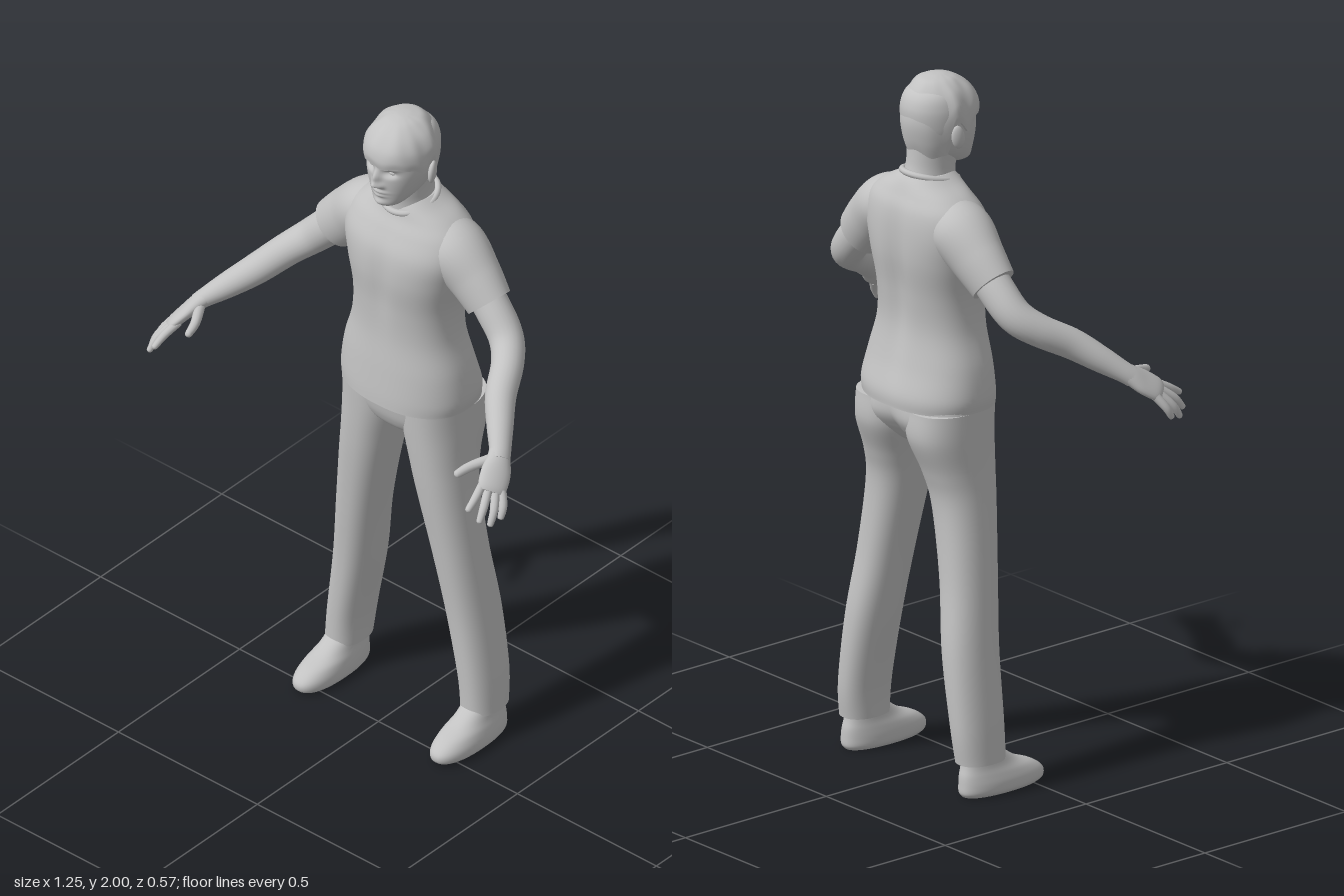
import * as THREE from 'three';

const grey = new THREE.MeshStandardMaterial({ color: 0xc2c2c2 });
grey.name = 'plain grey';

// Smooth interpolation of all columns of a row table at t in 0..1
function sample(rows, t) {
  const f = t * (rows.length - 1), i = Math.min(Math.floor(f), rows.length - 2), k = f - i;
  const at = (j) => rows[Math.max(0, Math.min(rows.length - 1, j))];
  return rows[0].map((_, c) => {
    const [a, b, d, e] = [at(i - 1)[c], at(i)[c], at(i + 1)[c], at(i + 2)[c]];
    return b + 0.5 * k * (d - a + k * (2 * a - 5 * b + 4 * d - e + k * (3 * (b - d) + e - a)));
  });
}

// Closed skin over rings of points, with flat end caps
function skin(nv, nu, point) {
  const pos = [], idx = [];
  const ring = (v) => {
    const start = pos.length / 3;
    for (let u = 0; u < nu; u++) pos.push(...point((u / nu) * Math.PI * 2, v).toArray());
    return start;
  };
  for (let j = 0; j <= nv; j++) ring(j / nv);
  for (let j = 0; j < nv; j++) for (let u = 0; u < nu; u++) {
    const a = j * nu + u, b = j * nu + (u + 1) % nu;
    idx.push(a, b, a + nu, b, b + nu, a + nu);
  }
  for (const v of [0, 1]) {
    const s = ring(v), m = pos.length / 3, c = [0, 0, 0];
    for (let i = s * 3; i < m * 3; i++) c[i % 3] += pos[i] / nu;
    pos.push(...c);
    for (let u = 0; u < nu; u++) {
      const a = s + u, b = s + (u + 1) % nu;
      idx.push(...(v ? [a, b, m] : [b, a, m]));
    }
  }
  const g = new THREE.BufferGeometry();
  g.setAttribute('position', new THREE.Float32BufferAttribute(pos, 3));
  g.setIndex(idx);
  g.computeVertexNormals();
  return g;
}

// Horizontal sections: rows of [y, centre x, half width, front z, back z]
function stack(rows, { power = 2, nv = 40, nu = 48, warp } = {}) {
  const bend = (c) => Math.sign(c) * Math.abs(c) ** (2 / power);
  return skin(nv, nu, (a, v) => {
    const [y, cx, hw, zf, zb] = sample(rows, v);
    const p = new THREE.Vector3(cx + hw * bend(Math.cos(a)), y,
      (zf + zb) / 2 - ((zf - zb) / 2) * bend(Math.sin(a)));
    if (warp) warp(p);
    return p;
  });
}

// Sections across a path: rows of [x, y, z, radius along side, other radius]
function limb(rows, side = [0, 0, 1], nv = 28, nu = 24) {
  const at = (t) => new THREE.Vector3(...sample(rows, t).slice(0, 3));
  return skin(nv, nu, (a, v) => {
    const t = at(Math.min(1, v + 0.01)).sub(at(Math.max(0, v - 0.01))).normalize();
    const w = new THREE.Vector3(...side);
    w.addScaledVector(t, -w.dot(t)).normalize();
    const n = t.clone().cross(w), r = sample(rows, v);
    return at(v).addScaledVector(w, r[3] * Math.cos(a)).addScaledVector(n, r[4] * Math.sin(a));
  });
}

function mirrored(g) {
  const m = g.clone().scale(-1, 1, 1), i = m.index.array;
  for (let k = 0; k < i.length; k += 3) [i[k], i[k + 1]] = [i[k + 1], i[k]];
  m.computeVertexNormals();
  return m;
}

const bump = (x, y, cx, cy, sx, sy) => Math.exp(-(((x - cx) / sx) ** 2) - ((y - cy) / sy) ** 2);

export function createModel() {
  const model = new THREE.Group();
  model.name = 'standingFigure';
  const add = (name, g) => {
    const m = new THREE.Mesh(g, grey);
    m.name = name;
    model.add(m);
    return m;
  };
  const pair = (name, g) => {
    add(name + 'Left', g);
    add(name + 'Right', mirrored(g));
  };

  // Shirt body, with chest, spine groove and shoulder blades
  add('shirtBody', stack([
    [1.08, 0, 0.204, 0.012, -0.284], [1.12, 0, 0.208, 0.01, -0.284], [1.2, 0, 0.195, 0.003, -0.262],
    [1.3, 0, 0.167, -0.006, -0.246], [1.4, 0, 0.163, -0.004, -0.252], [1.5, 0, 0.183, 0.003, -0.265],
    [1.58, 0, 0.2, -0.005, -0.265], [1.64, 0, 0.187, -0.03, -0.257], [1.68, 0, 0.147, -0.052, -0.24],
    [1.71, 0, 0.095, -0.062, -0.225], [1.73, 0, 0.066, -0.075, -0.21],
  ], { power: 2.3, nv: 60, nu: 72, warp: (p) => {
    if (p.z < -0.16) p.z += 0.02 * bump(p.x, p.y, 0, 1.42, 0.035, 0.2);
    else if (p.z > -0.06) p.z -= 0.008 * bump(p.x, p.y, 0, 1.47, 0.03, 0.12);
  } }));
  const collar = add('collar', new THREE.TorusGeometry(0.073, 0.009, 10, 48).rotateX(Math.PI / 2).scale(1, 1, 1.08));
  collar.position.set(0, 1.715, -0.132);
  collar.rotation.x = 0.24;
  pair('sleeve', limb([
    [0.08, 1.62, -0.15, 0.075, 0.07], [0.15, 1.59, -0.147, 0.09, 0.085],
    [0.22, 1.53, -0.145, 0.073, 0.08], [0.277, 1.473, -0.14, 0.06, 0.072],
  ], [0, 0, 1], 24, 36));

  // Arms
  pair('arm', limb([
    [0.22, 1.53, -0.145, 0.05, 0.05], [0.29, 1.46, -0.14, 0.05, 0.053], [0.35, 1.4, -0.125, 0.048, 0.05],
    [0.395, 1.36, -0.08, 0.045, 0.046], [0.44, 1.315, 0, 0.043, 0.043], [0.49, 1.27, 0.06, 0.037, 0.036],
    [0.53, 1.235, 0.105, 0.031, 0.027], [0.545, 1.22, 0.125, 0.031, 0.024],
  ], [0, 0, 1], 48));

  // Hands
  const across = [0.62, -0.4, -0.68];
  pair('palm', limb([
    [0.525, 1.24, 0.1, 0.028, 0.024], [0.542, 1.222, 0.125, 0.034, 0.023], [0.558, 1.2, 0.155, 0.043, 0.02],
    [0.573, 1.178, 0.187, 0.042, 0.017], [0.579, 1.168, 0.2, 0.034, 0.012],
  ], across, 20));
  const fingers = {
    thumb: [[0.53, 1.222, 0.128], [0.497, 1.21, 0.185], [0.481, 1.2, 0.238]],
    indexFinger: [[0.55, 1.19, 0.195], [0.561, 1.166, 0.242], [0.565, 1.142, 0.283]],
    middleFinger: [[0.567, 1.178, 0.195], [0.587, 1.145, 0.238], [0.595, 1.108, 0.268]],
    ringFinger: [[0.583, 1.168, 0.186], [0.606, 1.132, 0.218], [0.612, 1.092, 0.243]],
    littleFinger: [[0.593, 1.164, 0.17], [0.614, 1.132, 0.19], [0.619, 1.1, 0.207]],
  };
  for (const [name, [a, b, c]] of Object.entries(fingers)) {
    const r = name === 'thumb' ? 0.015 : 0.0125;
    const mix = (k) => b.map((q, i) => q + (c[i] - q) * k);
    pair(name, limb([[...a, r, r], [...b, r * 0.95, r * 0.9], [...mix(0.8), r * 0.75, r * 0.7],
      [...mix(0.95), r * 0.5, r * 0.45], [...c, 0.001, 0.001]], across, 16, 12));
  }

  // Trousers
  add('trouserSeat', stack([
    [0.945, 0, 0.04, -0.09, -0.19], [0.975, 0, 0.12, -0.05, -0.23], [1.01, 0, 0.18, -0.03, -0.262],
    [1.05, 0, 0.202, -0.02, -0.28], [1.11, 0, 0.2, -0.012, -0.275],
  ], { power: 2.4, warp: (p) => {
    if (p.z < -0.16) p.z += 0.02 * bump(p.x, p.y, 0, 1.0, 0.03, 0.06);
  } }));
  pair('trouserLeg', stack([
    [0.095, 0.244, 0.054, -0.085, -0.232], [0.2, 0.235, 0.055, -0.083, -0.244], [0.4, 0.203, 0.062, -0.076, -0.243],
    [0.6, 0.172, 0.068, -0.058, -0.222], [0.8, 0.138, 0.078, -0.038, -0.217], [0.9, 0.122, 0.085, -0.03, -0.238],
    [1.0, 0.108, 0.097, -0.024, -0.276], [1.08, 0.105, 0.098, -0.02, -0.275],
  ], { power: 2.3, nv: 50 }));

  // Shoes
  pair('shoe', stack([
    [0, 0.246, 0.046, 0.035, -0.22], [0.012, 0.247, 0.056, 0.05, -0.228], [0.035, 0.247, 0.057, 0.048, -0.228],
    [0.06, 0.246, 0.052, 0.015, -0.226], [0.085, 0.245, 0.045, -0.045, -0.22], [0.125, 0.244, 0.04, -0.1, -0.215],
  ], { power: 2.3, nv: 24 }));

  // Neck and head with sculpted face
  add('neck', stack([
    [1.66, 0, 0.075, -0.055, -0.215], [1.72, 0, 0.064, -0.058, -0.208], [1.76, 0, 0.061, -0.055, -0.2],
    [1.83, 0, 0.063, -0.05, -0.195],
  ]));
  add('head', stack([
    [1.74, 0, 0.018, -0.018, -0.06], [1.75, 0, 0.042, -0.004, -0.1], [1.785, 0, 0.068, 0, -0.165],
    [1.83, 0, 0.085, 0.004, -0.195], [1.87, 0, 0.092, 0.004, -0.208], [1.92, 0, 0.09, 0, -0.21],
    [1.96, 0, 0.072, -0.03, -0.19], [1.985, 0, 0.03, -0.07, -0.14],
  ], { power: 2.15, nv: 90, nu: 128, warp: (p) => {
    if (p.z < -0.06) return;
    const x = Math.abs(p.x), { y } = p;
    p.z += 0.018 * bump(x, y, 0, 1.845, 0.011, 0.024) + 0.017 * bump(x, y, 0, 1.822, 0.014, 0.01)
      + 0.007 * bump(x, y, 0.014, 1.818, 0.008, 0.008)
      + 0.008 * bump(x, y, 0, 1.796, 0.024, 0.005) + 0.008 * bump(x, y, 0, 1.783, 0.02, 0.006)
      + 0.007 * bump(x, y, 0, 1.757, 0.02, 0.01) + 0.006 * bump(x, y, 0.035, 1.882, 0.028, 0.007)
      - 0.013 * bump(x, y, 0.034, 1.862, 0.018, 0.01);
  } }));
  pair('eye', new THREE.SphereGeometry(0.013, 20, 14).scale(1.1, 0.65, 0.8).translate(0.034, 1.862, -0.021));
  pair('ear', new THREE.SphereGeometry(1, 20, 16).scale(0.011, 0.034, 0.019).rotateY(0.35).rotateX(-0.15)
    .translate(0.096, 1.842, -0.113));

  // Hair cap, longer at the nape, with soft locks
  add('hair', stack([
    [1.882, 0, 0.098, 0.012, -0.218], [1.905, 0, 0.1, 0.015, -0.223], [1.935, 0, 0.096, 0.006, -0.22],
    [1.965, 0, 0.08, -0.018, -0.2], [1.988, 0, 0.052, -0.05, -0.168], [1.998, 0, 0.022, -0.08, -0.13],
    [2, 0, 0.002, -0.1, -0.104],
  ], { power: 2.1, nv: 40, nu: 96, warp: (p) => {
    const k = Math.max(0, 1 - (p.y - 1.882) / 0.11);
    const back = THREE.MathUtils.smoothstep(-p.z, 0.115, 0.165);
    const temple = bump(p.z, 0, -0.075, 0, 0.022, 1);
    const angle = Math.atan2(p.x, p.z + 0.1);
    p.y -= k * (0.1 * back + 0.03 * temple + 0.004 * Math.sin(angle * 9));
    p.z += 0.028 * back * k * k;
    p.x *= 1 - 0.16 * back * k * k + 0.012 * Math.sin(angle * 11 + p.y * 40);
  } }));

  return model;
}
